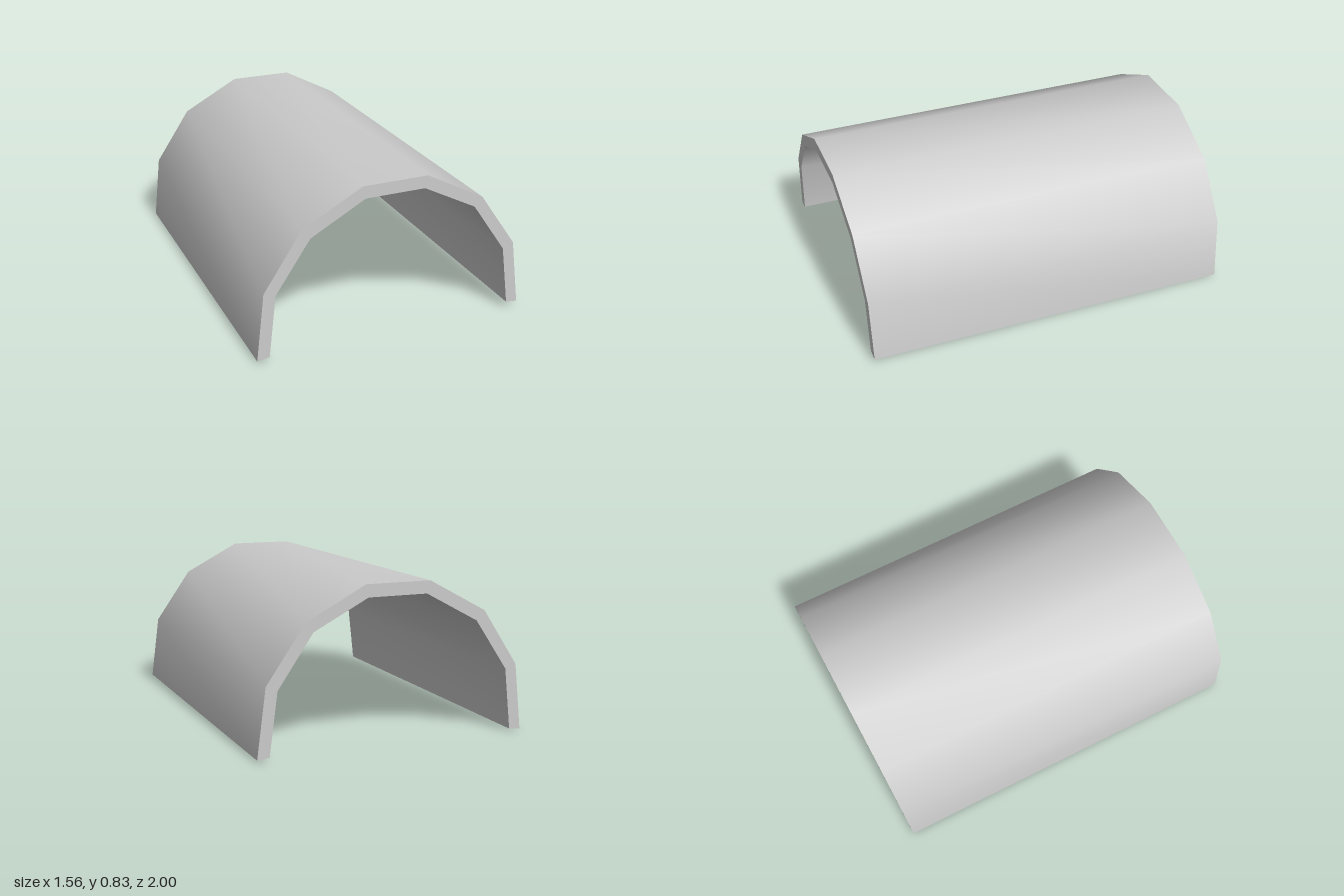
import * as THREE from 'three';

// Arch cross-section at the front end, from the right foot over the top to the left foot
const OUTER = [[-0.78, 0.018], [-0.74, 0.37], [-0.54, 0.665], [-0.22, 0.835],
  [0.135, 0.835], [0.452, 0.67], [0.655, 0.38], [0.7, 0.03]];
const INNER = [[-0.715, 0.026], [-0.678, 0.35], [-0.495, 0.615], [-0.203, 0.77],
  [0.12, 0.77], [0.41, 0.622], [0.595, 0.355], [0.636, 0.037]];

// Place a profile at one end; the back end is shifted a little, so the tunnel runs askew
const place = (profile, back) => profile.map(([x, y]) => [
  x + (back ? 0.077 : 0),
  y - (back ? 0.0145 : 0),
  (back ? -0.991 : 0.998) - 0.009 * y - 0.003 * x,
]);

// Smooth band of quads between two rows of points
function band(a, b) {
  const n = a.length, index = [];
  for (let i = 0; i < n - 1; i++) index.push(i, i + 1, n + i + 1, i, n + i + 1, n + i);
  const geometry = new THREE.BufferGeometry();
  geometry.setAttribute('position', new THREE.Float32BufferAttribute([...a, ...b].flat(), 3));
  geometry.setIndex(index);
  geometry.computeVertexNormals();
  return geometry;
}

export function createModel() {
  const group = new THREE.Group();
  group.name = 'archedTunnel';
  const material = new THREE.MeshStandardMaterial({ color: 0xcccccc, side: THREE.DoubleSide });
  const outerFront = place(OUTER, false), outerBack = place(OUTER, true);
  const innerFront = place(INNER, false), innerBack = place(INNER, true);

  // Two curved skins joined by the end rims; the shell is open along its feet
  const parts = {
    outerSkin: [outerFront, outerBack],
    innerSkin: [innerBack, innerFront],
    frontRim: [innerFront, outerFront],
    backRim: [outerBack, innerBack],
  };
  for (const [name, [a, b]] of Object.entries(parts)) {
    const mesh = new THREE.Mesh(band(a, b), material);
    mesh.name = name;
    group.add(mesh);
  }
  return group;
}
